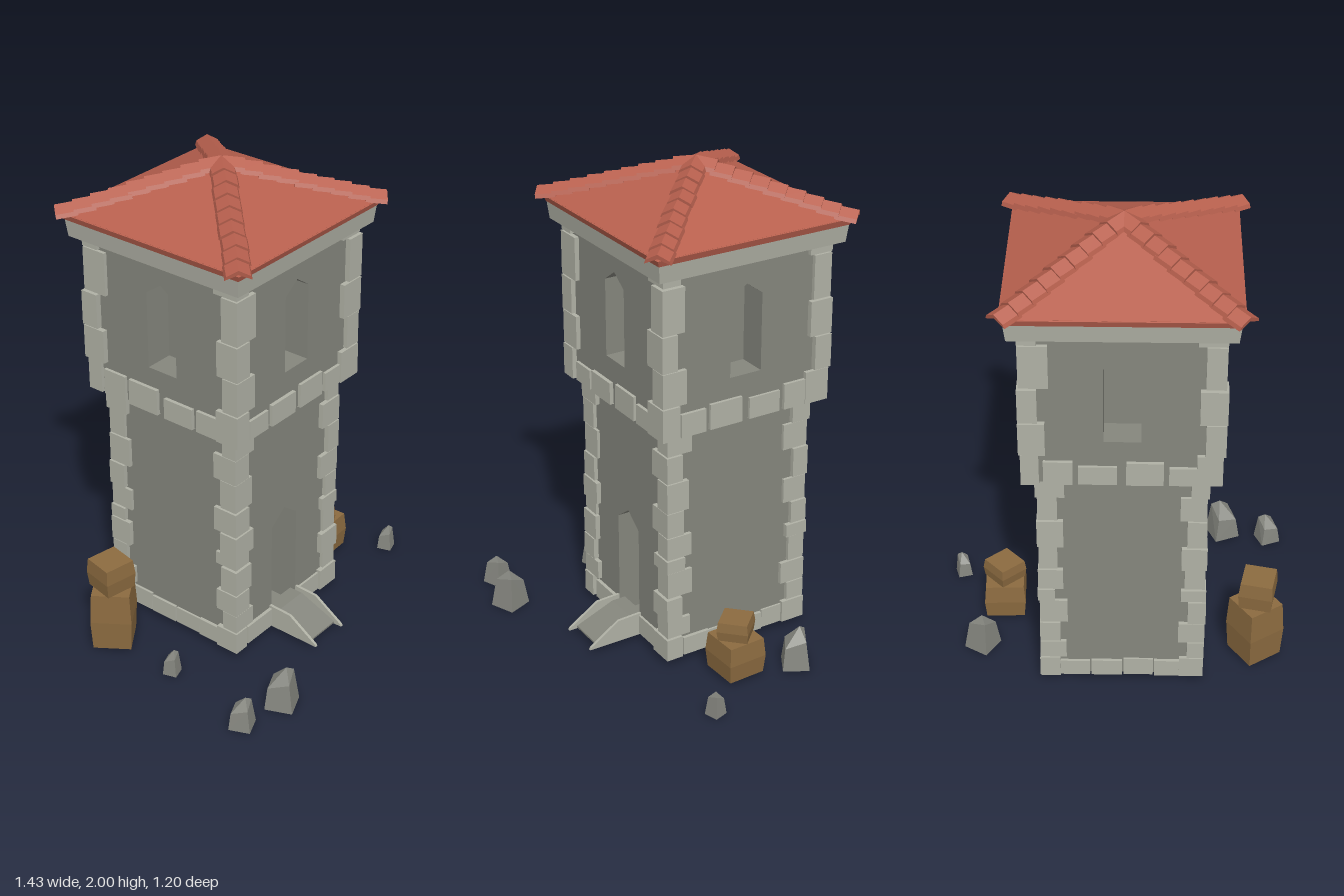
import * as THREE from 'three';
import { ConvexGeometry } from 'three/addons/geometries/ConvexGeometry.js';

const mat = (color) => new THREE.MeshStandardMaterial({ color, flatShading: true });

export function createModel() {
  const root = new THREE.Group();
  const wall = mat(0x85867d), stone = mat(0xb0b1a5), red = mat(0xb8604e);
  const wood = mat(0x8c6b40), rockMat = mat(0x85867f);

  // Small seeded generator for uneven stonework
  let seed = 11;
  const rnd = (a, b) => {
    seed = (seed * 16807) % 2147483647;
    return a + (b - a) * (seed / 2147483647);
  };
  const add = (parent, name, geo, material, x = 0, y = 0, z = 0) => {
    const m = new THREE.Mesh(geo, material);
    m.name = name;
    m.position.set(x, y, z);
    parent.add(m);
    return m;
  };
  const group = (parent, name, x = 0, y = 0, z = 0) => {
    const g = new THREE.Group();
    g.name = name;
    g.position.set(x, y, z);
    parent.add(g);
    return g;
  };
  // Box given by its two opposite corners
  const block = (parent, name, material, x0, x1, y0, y1, z0, z1) =>
    add(parent, name, new THREE.BoxGeometry(x1 - x0, y1 - y0, z1 - z0), material,
      (x0 + x1) / 2, (y0 + y1) / 2, (z0 + z1) / 2);

  const tower = group(root, 'tower', -0.027, 0, -0.117);

  // Wall panel with an optional pointed opening [halfWidth, bottom, shoulder, tip]
  const panel = (parent, name, half, y0, y1, depth, opening, turn) => {
    const s = new THREE.Shape();
    const w = half - 0.001;
    s.moveTo(-w, y0).lineTo(w, y0).lineTo(w, y1).lineTo(-w, y1).closePath();
    if (opening) {
      const [a, b, c, d] = opening;
      const h = new THREE.Path();
      h.moveTo(-a, b).lineTo(-a, c).lineTo(0, d).lineTo(a, c).lineTo(a, b).closePath();
      s.holes.push(h);
    }
    const geo = new THREE.ExtrudeGeometry(s, { depth, bevelEnabled: false });
    geo.translate(0, 0, half - depth);
    add(parent, name, geo, wall).rotation.y = turn;
  };
  const storey = (name, half, y0, y1, depth, openings) => {
    const g = group(tower, name);
    const c = half - depth;
    block(g, 'core', wall, -c, c, y0, y1, -c, c);
    openings.forEach((o, i) => panel(g, 'wall', half, y0, y1, depth, o, i * Math.PI / 2));
  };
  const win = [0.07, 1.23, 1.55, 1.6];
  storey('lowerStorey', 0.312, 0.035, 1.05, 0.14, [[0.08, 0.045, 0.5, 0.56], null, null, null]);
  storey('upperStorey', 0.362, 1.045, 1.72, 0.12, [win, win, win, win]);

  // Corner stones, alternating long and short on each face
  const quoins = (name, half, levels) => {
    for (const sx of [-1, 1]) for (const sz of [-1, 1]) {
      const g = group(tower, name);
      for (let i = 0; i < levels.length - 1; i++) {
        const long = (i + (sx * sz > 0 ? 1 : 0)) % 2;
        const a = (long ? 0.105 : 0.075) + rnd(-0.008, 0.008);
        const b = (long ? 0.075 : 0.105) + rnd(-0.008, 0.008);
        const o = half + rnd(-0.007, 0.004);
        const h = levels[i + 1] - levels[i] - 0.005;
        add(g, 'cornerStone', new THREE.BoxGeometry(a, h, b), stone,
          sx * (o - a / 2), levels[i] + h / 2, sz * (o - b / 2));
      }
    }
  };
  quoins('lowerCorner', 0.331,
    [0.03, 0.13, 0.215, 0.315, 0.43, 0.49, 0.59, 0.7, 0.83, 0.945, 1.045]);
  quoins('upperCorner', 0.382, [1.04, 1.18, 1.325, 1.475, 1.66, 1.7]);

  // Stone courses at the foot and at the overhang
  for (let side = 0; side < 4; side++) {
    const base = group(tower, 'baseCourse');
    const belt = group(tower, 'beltCourse');
    base.rotation.y = belt.rotation.y = side * Math.PI / 2;
    const spans = side === 0 ? [[-0.25, -0.09], [0.09, 0.25]]
      : [[-0.25, -0.13], [-0.125, 0.0], [0.005, 0.125], [0.13, 0.25]];
    for (const [a, b] of spans)
      block(base, 'baseStone', stone, a, b, 0.03, 0.1 + rnd(0, 0.015), 0.25, 0.32 + rnd(0, 0.007));
    for (const [a, b] of [[-0.295, -0.185], [-0.165, -0.02], [0.015, 0.155], [0.175, 0.3]])
      block(belt, 'beltStone', stone, a, b, 1.04, 1.115 + rnd(0, 0.035), 0.3, 0.372 + rnd(0, 0.006));
  }

  // Square tapered slab, used for the cornice and the roof
  const slab = (name, top, bottom, y0, y1, material) => {
    const geo = new THREE.CylinderGeometry(top * Math.SQRT2, bottom * Math.SQRT2, y1 - y0, 4);
    geo.rotateY(Math.PI / 4);
    add(tower, name, geo, material, 0, (y0 + y1) / 2, 0);
  };
  slab('cornice', 0.42, 0.412, 1.7, 1.772, stone);
  slab('eaves', 0.432, 0.422, 1.77, 1.8, red);
  slab('roof', 0, 0.436, 1.798, 1.975, red);

  // Overlapping ridge tiles down the four hips
  const tile = new THREE.Shape();
  tile.moveTo(-0.05, -0.02).lineTo(-0.044, -0.004).lineTo(0, 0.02).lineTo(0.044, -0.004)
    .lineTo(0.05, -0.02).lineTo(0, 0.002).closePath();
  const tileGeo = new THREE.ExtrudeGeometry(tile, { depth: 0.085, bevelEnabled: false });
  const slope = Math.atan(0.177 / 0.617);
  for (let k = 0; k < 4; k++) {
    const hip = group(tower, 'hipTiles');
    hip.rotation.y = Math.PI / 4 + k * Math.PI / 2;
    for (let i = 0; i < 9; i++) {
      const r = i * 0.068;
      const t = add(hip, 'ridgeTile', tileGeo, red, rnd(-0.003, 0.003), 1.98 - r * 0.287, r);
      t.rotation.x = slope - 0.13;
    }
  }

  // Entrance ramp with thin side walls, drawn in side profile
  const profile = (name, pts, x, width, material) => {
    const s = new THREE.Shape(pts.map(([z, y]) => new THREE.Vector2(z, y)));
    const geo = new THREE.ExtrudeGeometry(s, { depth: width, bevelEnabled: false });
    geo.rotateY(-Math.PI / 2);
    geo.translate(width / 2, 0, 0);
    add(ramp, name, geo, material, x, 0, 0);
  };
  const ramp = group(root, 'entranceRamp', -0.027, 0, 0);
  profile('rampSlab', [[0.17, 0.03], [0.4, 0.03], [0.4, 0.038], [0.23, 0.105], [0.17, 0.105]], 0, 0.16, wall);
  for (const s of [-1, 1])
    profile('rampSide', [[0.18, 0.025], [0.435, 0.025], [0.43, 0.035], [0.3, 0.12], [0.18, 0.125]], s * 0.087, 0.012, stone);

  // Wooden crates, slightly swollen at mid height
  const crate = (x, y, z, w, h, turn, tilt = 0) => {
    const geo = new THREE.BoxGeometry(w, h, w, 1, 2, 1);
    const p = geo.attributes.position;
    for (let i = 0; i < p.count; i++) {
      const f = Math.abs(p.getY(i)) < 0.001 ? 1 : 0.92;
      p.setX(i, p.getX(i) * f);
      p.setZ(i, p.getZ(i) * f);
    }
    add(root, 'crate', geo, wood, x, y + h / 2, z).rotation.set(0, turn, tilt);
  };
  crate(-0.57, 0.015, -0.257, 0.168, 0.26, 0.6);
  crate(-0.575, 0.28, -0.257, 0.14, 0.125, -0.2, 0.02);
  crate(0.475, 0.02, 0.002, 0.172, 0.155, 0.04);
  crate(0.475, 0.178, 0.002, 0.128, 0.08, 0.75, 0.02);

  // Angular rocks with a slanted top
  const rock = (x, z, w, h, turn) => {
    const pts = [];
    const v = (a, b, c) => pts.push(new THREE.Vector3(a * w, b * h, c * w));
    v(-0.4, 0, -0.4); v(0.4, 0, -0.4); v(0.4, 0, 0.4); v(-0.4, 0, 0.4);
    v(-0.3, 0.55, -0.34); v(0.28, 0.62, -0.32); v(0.3, 0.85, 0.26); v(-0.28, 0.72, 0.28);
    v(0.08, 1, 0.1);
    add(root, 'rock', new ConvexGeometry(pts), rockMat, x, 0.003, z).rotation.y = turn;
  };
  rock(0.557, -0.235, 0.135, 0.172, 2.6);
  rock(0.675, 0.225, 0.075, 0.108, 0.3);
  rock(-0.583, 0.065, 0.072, 0.108, 0.3);
  rock(-0.66, 0.487, 0.108, 0.13, 0.4);
  rock(-0.462, 0.527, 0.14, 0.172, 0.4);

  return root;
}
